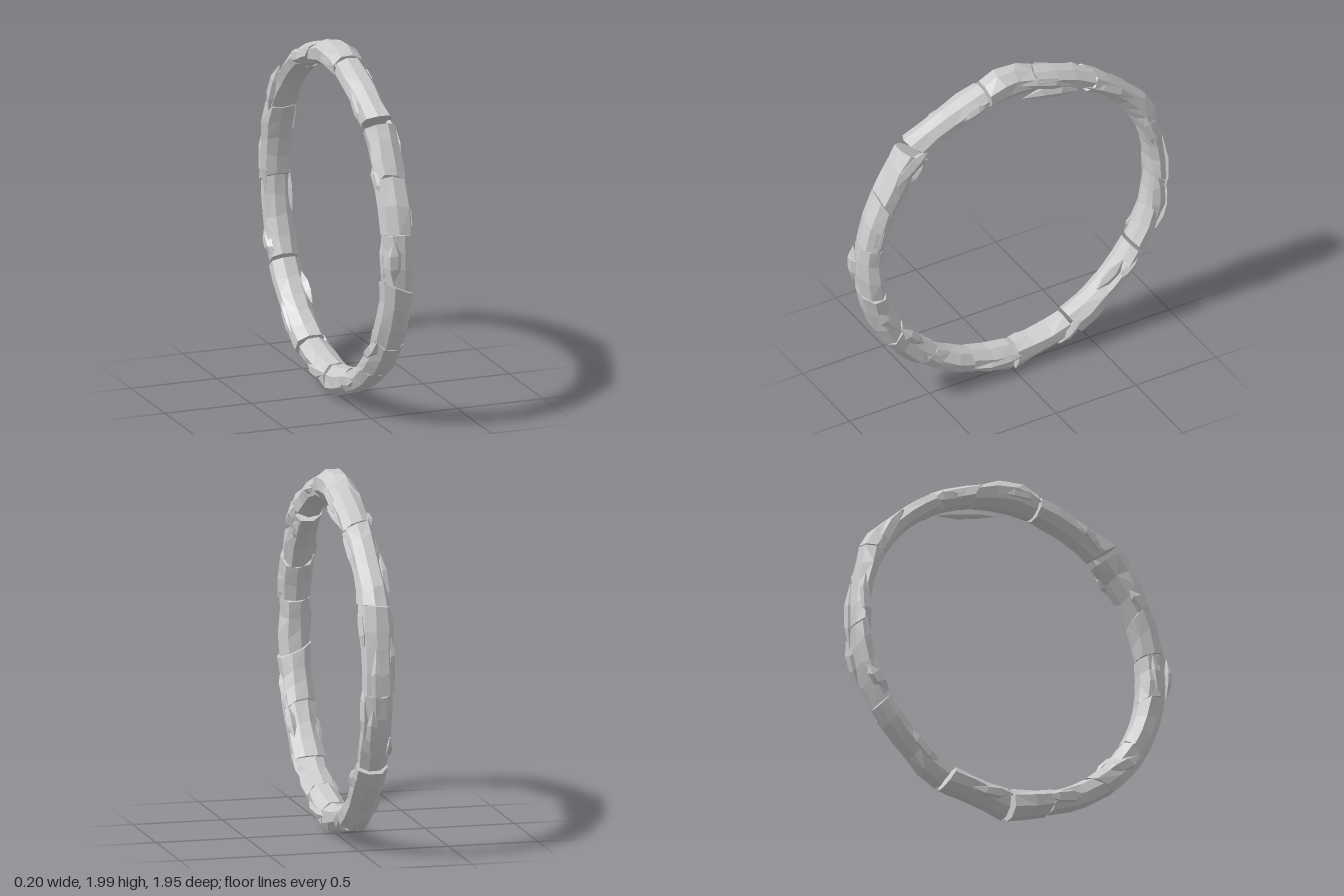
import * as THREE from 'three';

const { lerp, degToRad } = THREE.MathUtils;
const material = new THREE.MeshStandardMaterial({ color: 0xcccccc, flatShading: true });

// Seeded noise in -1..1
let seed = 11;
const noise = () => {
  seed = (seed * 16807) % 2147483647;
  return (seed / 2147483647) * 2 - 1;
};

// Inner and outer radius at an angle (0 = front, 90 = top); the outside swells at a few places
const SWELLS = [47, 90, 150, 243, 271];
const innerRadius = (deg) => 0.83 - 0.025 * Math.cos(degToRad(deg));
const outerRadius = (deg) =>
  SWELLS.reduce((r, c) => r + 0.045 * Math.exp(-(((deg - c) / 9) ** 2)), 0.955);

// Place a point on the ring, which stands in the y-z plane
function onRing(deg, r, x) {
  const a = degToRad(deg);
  return new THREE.Vector3(x, 1 + r * Math.sin(a), r * Math.cos(a));
}

// Join closed cross-sections into a faceted solid with capped ends
function loft(name, sections) {
  const tris = [];
  const n = sections[0].length;
  for (let s = 0; s < sections.length - 1; s++) {
    for (let i = 0; i < n; i++) {
      const j = (i + 1) % n;
      const [a, b, c, d] = [sections[s][i], sections[s][j], sections[s + 1][j], sections[s + 1][i]];
      if ((s + i) % 2) tris.push([a, b, c], [a, c, d]);
      else tris.push([a, b, d], [b, c, d]);
    }
  }
  const first = sections[0];
  const last = sections[sections.length - 1];
  for (let i = 1; i < n - 1; i++) {
    tris.push([first[0], first[i + 1], first[i]], [last[0], last[i], last[i + 1]]);
  }
  // Turn every face outward
  let volume = 0;
  for (const t of tris) {
    const [p, q, r] = t.map((v) => v.clone().sub(first[0]));
    volume += p.dot(q.cross(r));
  }
  if (volume < 0) tris.forEach((t) => t.reverse());
  const geometry = new THREE.BufferGeometry().setFromPoints(tris.flat());
  geometry.computeVertexNormals();
  const mesh = new THREE.Mesh(geometry, material);
  mesh.name = name;
  return mesh;
}

// One stone between two breaks, its end faces slanted to follow them
function stone(start, end) {
  const sides = 8;
  const from = start.angle + start.gap;
  const to = end.angle - end.gap;
  const steps = Math.max(2, Math.round((to - from) / 7));
  const twist = noise() * 0.3;
  const facets = Array.from({ length: sides }, () => 1.1 + noise() * 0.05);
  const sections = [];
  for (let s = 0; s <= steps; s++) {
    const t = s / steps;
    const a = lerp(from, to, t);
    const inner = innerRadius(a);
    const outer = outerRadius(a);
    const halfWidth = 0.08 * (1 + noise() * 0.08);
    const wobble = s > 0 && s < steps ? 1.2 : 0;
    sections.push(facets.map((facet, i) => {
      const u = ((i + 0.5) / sides) * Math.PI * 2 + twist;
      const k = facet + noise() * 0.04;
      const radial = THREE.MathUtils.clamp(Math.cos(u) * k, -1, 1);
      const across = Math.sin(u) * k;
      const slant = lerp(start.tilt, end.tilt, t) * radial + lerp(start.skew, end.skew, t) * across;
      const r = (inner + outer) / 2 + (radial * (outer - inner)) / 2;
      return onRing(a + slant + noise() * wobble, r, across * halfWidth);
    }));
  }
  return loft('ringStone', sections);
}

// Pointed splinter between two angles and radii, with radial and sideways half sizes
function splinter(a0, a1, r0, r1, x, deep, wide) {
  const sections = [[0, 0.12], [0.3, 0.9], [0.65, 1], [1, 0.1]].map(([t, size]) =>
    Array.from({ length: 5 }, (_, i) => {
      const u = (i / 5) * Math.PI * 2 + 0.4;
      const r = lerp(r0, r1, t) + Math.cos(u) * deep * size;
      return onRing(lerp(a0, a1, t) + noise() * 0.6, r, x + Math.sin(u) * wide * size);
    }));
  return loft('splinter', sections);
}

export function createModel() {
  const model = new THREE.Group();
  model.name = 'brokenStoneRing';

  // Breaks around the ring: angle, half gap, radial slant in degrees
  const breaks = [
    [-10, 0.2, 1], [9, 0.2, 0.5], [26, 0.2, 3], [49, 1.5, -1.5], [79.5, 0.5, 0],
    [102, 0.2, -3.5], [121, 0.2, 0.5], [153, 0.2, 1.5], [182, 0.2, 2], [211, 0.7, 1],
    [246, 0.7, -0.5], [270, 0.9, 0], [287, 0.2, -2], [308, 0.2, 3], [328, 0.2, -2],
  ].map(([angle, gap, tilt]) => ({ angle, gap, tilt, skew: gap < 0.5 ? noise() * 2.5 : 0 }));
  breaks.push({ ...breaks[0], angle: breaks[0].angle + 360 });
  for (let i = 0; i < breaks.length - 1; i++) model.add(stone(breaks[i], breaks[i + 1]));

  // Loose flakes outside the back and front
  model.add(splinter(191, 168, 0.968, 0.968, 0.02, 0.012, 0.035));
  model.add(splinter(203, 188, 0.97, 0.968, 0.04, 0.018, 0.035));
  model.add(splinter(-6, 8, 0.955, 0.96, -0.045, 0.02, 0.04));

  // Splinters poking in from the inside edge: start and end angle, x
  [[37, 48, 0.05], [-45, -31, 0.075], [231, 217, 0.06], [94, 118, 0.06]].forEach(([a0, a1, x]) =>
    model.add(splinter(a0, a1, 0.82, 0.845, x, 0.036, 0.028)));

  // Slabs along both flanks, every one leaning across the ring
  const slabs = 24;
  for (let i = 0; i < slabs; i++) {
    const a = (i * 350) / slabs;
    const side = i % 2 ? 1 : -1;
    const middle = (innerRadius(a) + outerRadius(a)) / 2;
    const lean = noise() * 0.035;
    const length = 8 + noise() * 3;
    const depth = 0.038 + noise() * 0.008;
    model.add(splinter(a - length, a + length, middle - lean, middle + lean, side * 0.072, depth, 0.026));
  }
  return model;
}
